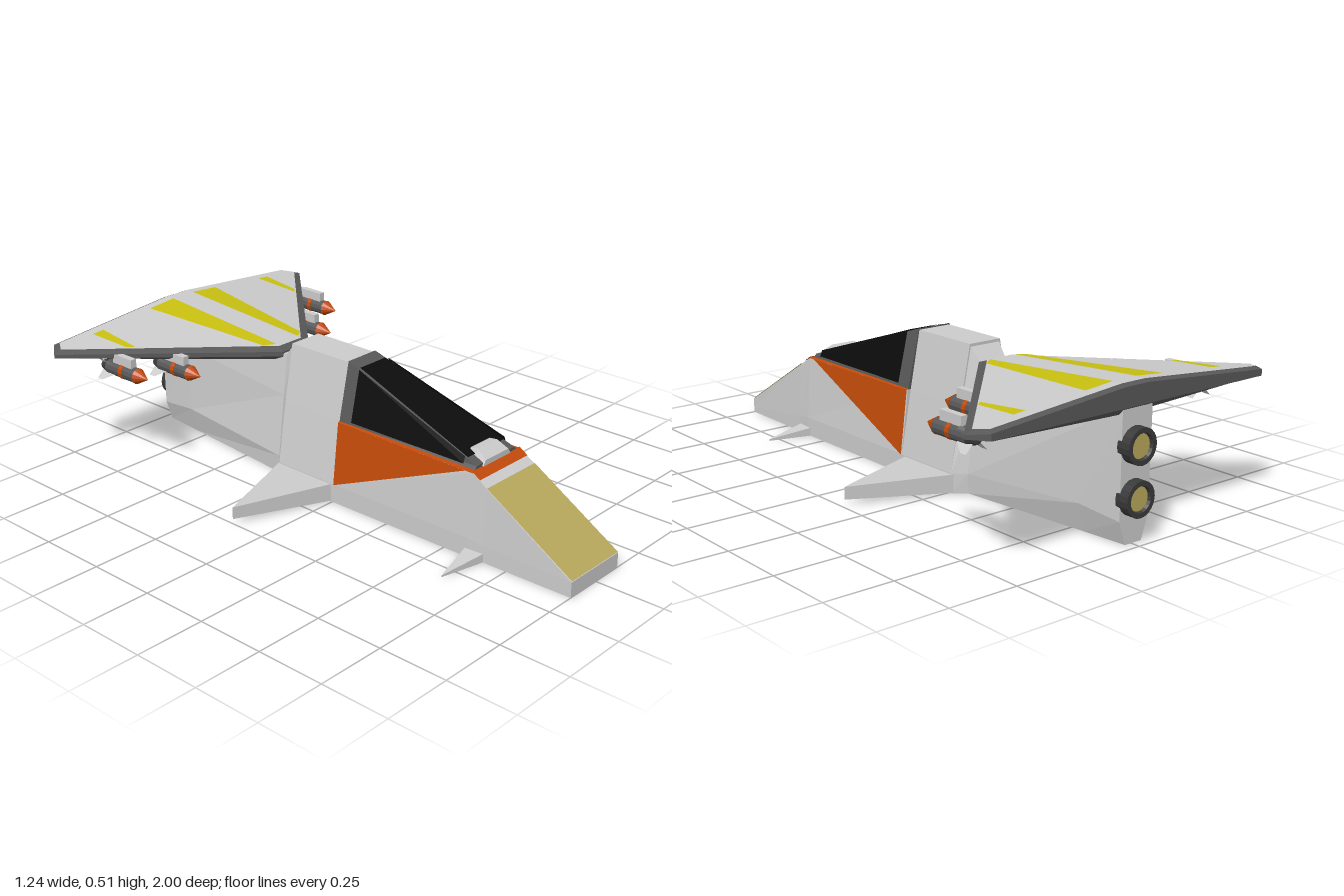
import * as THREE from 'three';

const mat = (color) => new THREE.MeshStandardMaterial({ color, flatShading: true, side: THREE.DoubleSide });
const GREY = mat(0xcccccc), DARK = mat(0x585858), BLACK = mat(0x0c0c0c), ORANGE = mat(0xc24a0a),
  YELLOW = mat(0xc8c010), TAN = mat(0xb8a85c), STEEL = mat(0x3a3a3a);

function addMesh(parent, name, geometry, material) {
  const m = new THREE.Mesh(geometry, material);
  m.name = name;
  parent.add(m);
  return m;
}

function fromTriangles(tris) {
  const g = new THREE.BufferGeometry();
  g.setAttribute('position', new THREE.Float32BufferAttribute(tris.flat(2), 3));
  g.computeVertexNormals();
  return g;
}

const fan = (p) => p.slice(2).map((q, i) => [p[0], p[i + 1], q]);
const panel = (p) => fromTriangles(fan(p));

// Skin between rings of points (counterclockwise seen from the first ring), capped at both ends
function loft(rings) {
  const tris = [...fan(rings[0]), ...fan([...rings[rings.length - 1]].reverse())];
  for (let i = 0; i < rings.length - 1; i++) {
    const a = rings[i], b = rings[i + 1];
    for (let j = 0; j < a.length; j++) {
      const k = (j + 1) % a.length;
      tris.push([a[j], b[j], b[k]], [a[j], b[k], a[k]]);
    }
  }
  return fromTriangles(tris);
}

// Mirrored fuselage section from a half profile of [x, y], bottom to top
const section = (z, half) => [
  ...half.map(([x, y]) => [x, y, z]),
  ...[...half].reverse().map(([x, y]) => [-x, y, z]),
];
const mirrored = (pts, s) => pts.map(([x, y, z]) => [x * s, y, z]);

function buildBody() {
  const body = new THREE.Group();
  body.name = 'fuselage';
  body.position.x = -0.008;

  // Nose and cockpit hull
  addMesh(body, 'frontHull', loft([
    section(1, [[0.13, 0], [0.13, 0.02], [0.13, 0.055]]),
    section(0.66, [[0.135, 0], [0.135, 0.06], [0.128, 0.262]]),
    section(0.6, [[0.14, 0], [0.14, 0.07], [0.125, 0.3]]),
    section(0.01, [[0.145, 0], [0.145, 0.07], [0.118, 0.3]]),
  ]), GREY);

  // Tall block behind the cockpit, then the slim tail
  const block = [[0.145, 0], [0.145, 0.07], [0.105, 0.3], [0.066, 0.505]];
  addMesh(body, 'midBlock', loft([section(0.015, block), section(-0.26, block)]), GREY);
  addMesh(body, 'tail', loft([
    section(-0.26, [[0.145, 0], [0.145, 0.07], [0.1, 0.3], [0.062, 0.495]]),
    section(-0.3, [[0.1, 0], [0.105, 0.07], [0.075, 0.3], [0.055, 0.45]]),
    section(-0.8, [[0.05, 0], [0.078, 0.1], [0.072, 0.35], [0.055, 0.46]]),
    section(-0.965, [[0.035, 0], [0.062, 0.08], [0.064, 0.4], [0.06, 0.5]]),
  ]), GREY);

  // Painted bands over the sloping nose
  const slope = (z) => (z > 0.66 ? 0.055 + (1 - z) * 0.609 : 0.262 + (0.66 - z) * 0.633) + 0.003;
  const band = (z0, z1, w) => panel([[-w, slope(z0), z0], [w, slope(z0), z0], [w, slope(z1), z1], [-w, slope(z1), z1]]);
  addMesh(body, 'nosePanel', band(1, 0.66, 0.128), TAN);
  addMesh(body, 'noseStripe', band(0.63, 0.597, 0.127), ORANGE);

  // Canopy frame and glazing
  addMesh(body, 'canopyFrame', loft([
    section(0.595, [[0.112, 0.3], [0.1, 0.313]]),
    section(0.01, [[0.116, 0.3], [0.068, 0.51]]),
  ]), DARK);
  addMesh(body, 'canopyTop', panel([
    [-0.096, 0.331, 0.555], [0.096, 0.331, 0.555], [0.064, 0.498, 0.06], [-0.064, 0.498, 0.06]]), BLACK);
  addMesh(body, 'windscreenSill', loft([
    section(0.6, [[0.075, 0.3], [0.06, 0.322]]),
    section(0.56, [[0.075, 0.3], [0.05, 0.347]]),
    section(0.53, [[0.075, 0.3], [0.05, 0.343]]),
  ]), GREY);

  for (const s of [1, -1]) {
    addMesh(body, 'canopySide', panel(mirrored(
      [[0.113, 0.313, 0.55], [0.117, 0.313, 0.065], [0.075, 0.495, 0.065], [0.104, 0.335, 0.55]], s)), BLACK);
    addMesh(body, 'sidePanel', panel(mirrored(
      [[0.129, 0.3, 0.57], [0.123, 0.3, 0.01], [0.15, 0.07, 0.01]], s)), ORANGE);
    addMesh(body, 'sideLedge', panel(mirrored(
      [[0.111, 0.303, 0.6], [0.129, 0.3, 0.6], [0.123, 0.3, 0.01], [0.113, 0.303, 0.01]], s)), ORANGE);

    // Pointed fins: thin triangles with a narrow upright tip
    const fin = (zf, zb, zt, xr, xt, rootTop, tipTop, tipLow) => loft([
      mirrored([[xr, rootTop, zf], [xt, tipTop, zt], [xr, rootTop, zb]], s),
      mirrored([[xr, 0, zf], [xt, tipLow, zt], [xr, 0, zb]], s),
    ]);
    addMesh(body, 'midFin', fin(0.01, -0.28, -0.135, 0.1, 0.495, 0.067, 0.064, 0.02), GREY);
    addMesh(body, 'noseFin', fin(0.66, 0.585, 0.622, 0.13, 0.302, 0.032, 0.008, 0.002), GREY);
  }

  // Two stacked engine nozzles
  for (const y of [0.318, 0.15]) {
    const nozzle = new THREE.Group();
    nozzle.name = 'engineNozzle';
    nozzle.position.set(0.008, y, -0.98);
    nozzle.rotation.x = -Math.PI / 2;
    addMesh(nozzle, 'nozzleWall', new THREE.LatheGeometry(
      [[0.06, -0.03], [0.06, 0.02], [0.044, 0.02], [0.04, 0.008]].map((p) => new THREE.Vector2(...p)), 20), STEEL);
    addMesh(nozzle, 'nozzleGlow', new THREE.CylinderGeometry(0.042, 0.042, 0.01, 20), TAN).position.y = 0.004;
    body.add(nozzle);
  }
  return body;
}

function buildWing() {
  const wing = new THREE.Group();
  wing.name = 'wing';
  const topY = (x, z) => 0.465 + 0.073 * (-0.34 - z) - 0.086 * (Math.max(Math.abs(x), 0.05) - 0.05);
  const lay = (pts, lift) => pts.map(([x, z]) => [x, topY(x, z) + lift, z]);
  const both = (half) => [...half, ...[...half].reverse().map(([x, z]) => [-x, z])];
  const inner = [[0.055, -0.345], [0.592, -0.905], [0.562, -0.95], [0.05, -0.95]];
  const outer = [[0.065, -0.315], [0.622, -0.905], [0.575, -0.968], [0.05, -0.968]];

  // Dark core with bevelled rim
  addMesh(wing, 'wingCore', loft([
    lay(both(inner), 0),
    lay(both(outer), -0.006),
    both(outer).map(([x, z]) => [x, 0.438, z]),
    both(inner).map(([x, z]) => [x, 0.415 + 0.036 * Math.abs(x), z]),
  ]), DARK);

  // Light upper skin and painted stripes
  const flip = (pts, s) => pts.map(([x, z]) => [x * s, z]);
  addMesh(wing, 'centreSkin', panel(lay([[0.05, -0.345], [0.05, -0.95], [-0.05, -0.95], [-0.05, -0.345]], 0.003)), GREY);
  for (const s of [1, -1]) {
    addMesh(wing, 'wingSkin', panel(lay(flip([[0.05, -0.345], ...inner], s), 0.003)), GREY);
    addMesh(wing, 'innerStripe', panel(lay(flip([[0.055, -0.36], [0.095, -0.385], [0.165, -0.915], [0.05, -0.915]], s), 0.006)), YELLOW);
    addMesh(wing, 'outerStripe', panel(lay(flip([[0.405, -0.72], [0.428, -0.74], [0.442, -0.91], [0.395, -0.91]], s), 0.006)), YELLOW);
  }
  return wing;
}

// Missile pointing +z with its nose tip at z = 0
function buildMissile(x, z) {
  const missile = new THREE.Group();
  missile.name = 'missile';
  missile.position.set(x, 0.395, z);
  const turned = (name, r0, r1, length, front, material) => {
    const m = addMesh(missile, name, new THREE.CylinderGeometry(r0, r1, length, 12), material);
    m.rotation.x = Math.PI / 2;
    m.position.z = front - length / 2;
  };
  turned('missileNose', 0.002, 0.029, 0.05, 0, ORANGE);
  turned('missileBody', 0.027, 0.027, 0.15, -0.05, DARK);
  turned('missileBand', 0.0285, 0.0285, 0.018, -0.11, ORANGE);
  turned('missileTail', 0.027, 0.018, 0.03, -0.2, STEEL);
  addMesh(missile, 'pylon', new THREE.BoxGeometry(0.024, 0.05, 0.1), GREY).position.set(0, 0.032, -0.12);
  for (let i = 0; i < 4; i++) {
    const fin = addMesh(missile, 'missileFin',
      panel([[0.02, 0, -0.15], [0.058, 0, -0.2], [0.058, 0, -0.225], [0.02, 0, -0.225]]), GREY);
    fin.rotation.z = Math.PI / 4 + i * Math.PI / 2;
  }
  return missile;
}

export function createModel() {
  const model = new THREE.Group();
  model.name = 'spacecraft';
  model.add(buildBody(), buildWing());
  for (const [x, z] of [[-0.465, -0.59], [-0.322, -0.475], [0.305, -0.435], [0.498, -0.59]]) model.add(buildMissile(x, z));
  return model;
}
